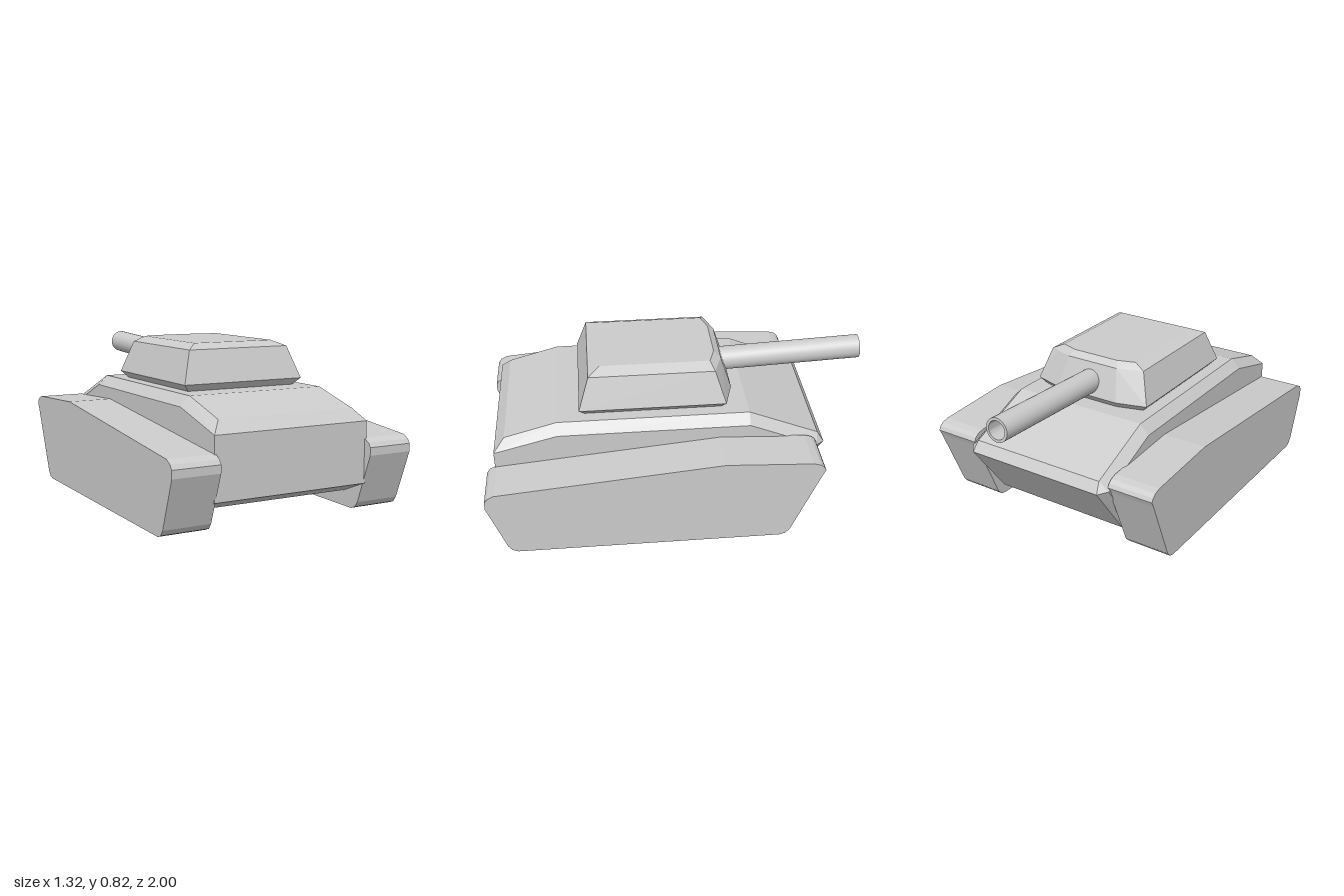
import * as THREE from 'three';
import { ConvexGeometry } from 'three/addons/geometries/ConvexGeometry.js';
import { toCreasedNormals } from 'three/addons/utils/BufferGeometryUtils.js';

const material = new THREE.MeshStandardMaterial({ color: 0xcccccc, flatShading: true });
const smooth = new THREE.MeshStandardMaterial({ color: 0xcccccc });

// Faceted armour body: right half corners [x, y, z] mirrored across x = 0
function armour(name, corners) {
  const points = corners.flatMap(([x, y, z]) => [
    new THREE.Vector3(x, y, z), new THREE.Vector3(-x, y, z)]);
  const mesh = new THREE.Mesh(new ConvexGeometry(points), material);
  mesh.name = name;
  return mesh;
}

export function createModel() {
  const tank = new THREE.Group();
  tank.name = 'tank';

  // Hull: sloped deck, chamfered shoulders and a wedge nose
  tank.add(armour('hull', [
    // deck
    [0.375, 0.515, 0.9], [0.375, 0.59, 0.63], [0.375, 0.59, -0.355], [0.375, 0.44, -0.72],
    // shoulders
    [0.425, 0.455, 0.955], [0.425, 0.54, 0.63], [0.425, 0.54, -0.355], [0.425, 0.393, -0.71],
    // nose edge
    [0.385, 0.385, -0.755],
    // lower rear and belly
    [0.425, 0.145, 0.955], [0.42, 0.08, 0.8], [0.42, 0.08, -0.49], [0.385, 0.08, -0.53],
  ]));

  // Turret: stacked rings with a pointed front, [y, x, rear z, side front z, front x, front z]
  const rings = [
    [0.588, 0.305, 0.485, -0.215, 0.165, -0.255],
    [0.625, 0.34, 0.515, -0.24, 0.18, -0.285],
    [0.79, 0.285, 0.46, -0.185, 0.15, -0.23],
    [0.818, 0.225, 0.4, -0.165, 0.13, -0.195],
  ];
  tank.add(armour('turret', rings.flatMap(([y, x, rear, side, fx, front]) => [
    [x, y, rear], [x, y, side], [fx, y, front]])));

  // Gun barrel: hollow tube, slightly raised
  const R = 0.0625, r = 0.048, L = 0.849;
  const profile = [[0, 0], [R, 0], [R, L], [r, L], [r, 0.15], [0, 0.15]]
    .map(([x, y]) => new THREE.Vector2(x, y));
  const barrel = new THREE.Mesh(
    toCreasedNormals(new THREE.LatheGeometry(profile, 32), 0.6), smooth);
  barrel.name = 'gunBarrel';
  barrel.position.set(0, 0.688, -0.15);
  barrel.rotation.x = -(Math.PI / 2 - 0.045);
  tank.add(barrel);

  // Tracks: side outline [z, y] extruded across the width
  const outline = [
    [0.86, 0], [-0.49, 0], [-0.52, 0.008], [-0.545, 0.035], [-0.69, 0.38], [-0.705, 0.41],
    [-0.695, 0.43], [-0.675, 0.445], [-0.64, 0.455], [-0.2, 0.478], [0.95, 0.37],
    [0.985, 0.352], [1, 0.33], [1, 0.29], [0.91, 0.04], [0.89, 0.012],
  ].map(([z, y]) => new THREE.Vector2(-z, y));
  const trackGeometry = new THREE.ExtrudeGeometry(new THREE.Shape(outline),
    { depth: 0.246, bevelEnabled: false });
  trackGeometry.translate(0, 0, -0.123).rotateY(Math.PI / 2);
  for (const side of [1, -1]) {
    const track = new THREE.Mesh(trackGeometry, material);
    track.name = side > 0 ? 'leftTrack' : 'rightTrack';
    track.position.x = side * 0.539;
    tank.add(track);
  }
  return tank;
}
